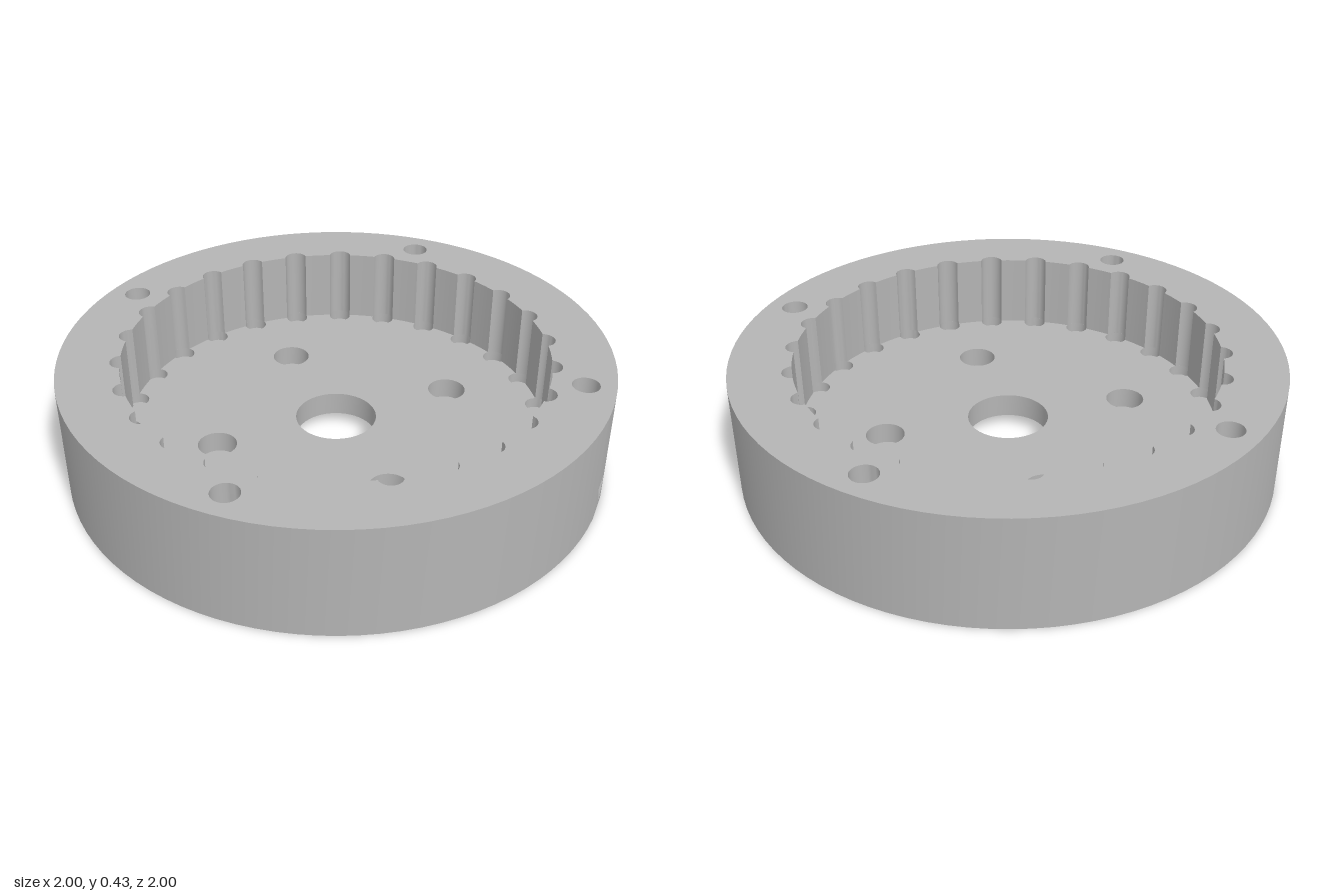
import * as THREE from 'three';
import { toCreasedNormals } from 'three/addons/utils/BufferGeometryUtils.js';

const HEIGHT = 0.425, FLOOR = 0.14, POCKET = 0.1, LEDGE = 0.06, RECESS = 0.05;
const CAVITY_R = 0.775, PIN_R = 0.043, PIN_RING = 0.768, PINS = 26;

// Outlines are counter-clockwise plan points (x, -z).
function arc(cx, cy, r, from, to, steps, out = []) {
  for (let i = 0; i <= steps; i++) {
    const t = from + (to - from) * i / steps;
    out.push(new THREE.Vector2(cx + r * Math.cos(t), cy + r * Math.sin(t)));
  }
  return out;
}
const circle = (x, y, r, n = 32) => arc(x, y, r, 0, Math.PI * 2 * (n - 1) / n, n - 1);

// Cavity circle with the pockets bulging out of it, or biting into it.
function scallop(bite) {
  const step = Math.PI * 2 / PINS;
  const a = Math.acos((CAVITY_R ** 2 + PIN_RING ** 2 - PIN_R ** 2) / (2 * CAVITY_R * PIN_RING));
  const b = Math.atan2(CAVITY_R * Math.sin(a), CAVITY_R * Math.cos(a) - PIN_RING);
  const end = bite ? b - Math.PI * 2 : b;
  const pts = [];
  for (let i = 0; i < PINS; i++) {
    const t = i * step;
    arc(PIN_RING * Math.cos(t), PIN_RING * Math.sin(t), PIN_R, t - b, t + end, 14, pts);
    // plain wall between pockets, without the shared end points
    const gap = (step - 2 * a) / 4;
    arc(0, 0, CAVITY_R, t + a + gap, t + step - a - gap, 2, pts);
  }
  return pts;
}

// Flat horizontal face with holes.
function face(outline, holes, y, down = false) {
  const shape = new THREE.Shape(outline);
  shape.holes = holes.map((h) => new THREE.Path(h));
  const g = new THREE.ShapeGeometry(shape);
  g.rotateX(-Math.PI / 2).translate(0, y, 0);
  if (down) {
    const idx = g.index.array;
    for (let i = 0; i < idx.length; i += 3) [idx[i], idx[i + 1]] = [idx[i + 1], idx[i]];
    g.computeVertexNormals();
  }
  return g;
}

// Upright wall along an outline, facing inward for holes.
function wall(pts, y0, y1, inward = true, closed = true) {
  const pos = [];
  const count = closed ? pts.length : pts.length - 1;
  for (let i = 0; i < count; i++) {
    let p = pts[i], q = pts[(i + 1) % pts.length];
    if (inward) [p, q] = [q, p];
    pos.push(p.x, y0, -p.y, q.x, y0, -q.y, q.x, y1, -q.y);
    pos.push(p.x, y0, -p.y, q.x, y1, -q.y, p.x, y1, -p.y);
  }
  const g = new THREE.BufferGeometry();
  g.setAttribute('position', new THREE.Float32BufferAttribute(pos, 3));
  return toCreasedNormals(g, 0.5);
}

export function createModel() {
  const model = new THREE.Group();
  model.name = 'pinRingHousing';
  const grey = new THREE.MeshStandardMaterial({ color: 0xb4b4b4 });
  grey.name = 'grey';
  const add = (name, geometry) => {
    const mesh = new THREE.Mesh(geometry, grey);
    mesh.name = name;
    model.add(mesh);
    return mesh;
  };

  const outer = circle(0, 0, 1, 96);
  const bore = circle(0, 0, 0.15, 48);
  const recess = circle(0, 0, 0.238, 48);
  const rimHoles = [[0, 0.892], [0, -0.892], [0.887, 0.11], [-0.887, 0.11]]
    .map(([x, y]) => circle(x, y, 0.049));
  const screws = [[1, 1], [-1, 1], [-1, -1], [1, -1]].map(([x, y]) => [x * 0.33, y * 0.33]);
  const screwHoles = screws.map(([x, y]) => circle(x, y, 0.038));
  const counterbores = screws.map(([x, y]) => circle(x, y, 0.071));

  // Rim, floor and underside
  const cavity = scallop(false);
  add('rimTop', face(outer, [cavity, ...rimHoles], HEIGHT));
  add('cavityWall', wall(cavity, FLOOR, HEIGHT));
  add('cavityFloor', face(scallop(true), [bore, ...counterbores], FLOOR));
  add('underside', face(outer, [recess, ...rimHoles, ...screwHoles], 0, true));

  // Centre bore with the wider recess below
  add('centreBore', wall(bore, RECESS, FLOOR));
  add('recessCeiling', face(recess, [bore], RECESS, true));
  add('recessWall', wall(recess, 0, RECESS));

  // Mounting holes
  rimHoles.forEach((h) => add('rimHole', wall(h, 0, HEIGHT)));
  screws.forEach((_, i) => {
    add('counterbore', wall(counterbores[i], LEDGE, FLOOR));
    add('counterboreLedge', face(counterbores[i], [screwHoles[i]], LEDGE));
    add('screwHole', wall(screwHoles[i], 0, LEDGE));
  });

  // Pin pockets sunk below the floor
  for (let i = 0; i < PINS; i++) {
    const t = i * Math.PI * 2 / PINS;
    const c = circle(PIN_RING * Math.cos(t), PIN_RING * Math.sin(t), PIN_R, 28);
    add('pocketWall', wall(c, POCKET, FLOOR));
    add('pocketFloor', face(c, [], POCKET));
  }

  // Outer wall, leaving a gap for the panel with the alignment notch
  const half = Math.PI / 48;
  add('outerWall', wall(arc(0, 0, 1, half, Math.PI * 2 - half, 94), 0, HEIGHT, false, false));
  const toSide = new THREE.Matrix4().makeBasis(
    new THREE.Vector3(0, 0, -1), new THREE.Vector3(1, 0, 0), new THREE.Vector3(0, -1, 0));
  const v = (x, y) => new THREE.Vector2(x, y);
  const w = Math.sin(half);
  const triangle = [v(0, 0.03), v(0.043, 0.115), v(-0.043, 0.115)];
  const panel = face([v(-w, 0), v(w, 0), v(w, HEIGHT), v(-w, HEIGHT)], [triangle], 1).applyMatrix4(toSide);
  const pos = panel.attributes.position;
  for (let i = 0; i < pos.count; i++) {
    const z = pos.getZ(i), x = Math.sqrt(1 - z * z);
    pos.setX(i, x);
    panel.attributes.normal.setXYZ(i, x, 0, z);
  }
  add('notchPanel', panel);
  add('notchFloor', face(triangle, [], 0.98).applyMatrix4(toSide));
  add('notchWall', wall(triangle, 0.98, 0.9995).applyMatrix4(toSide));
  return model;
}
